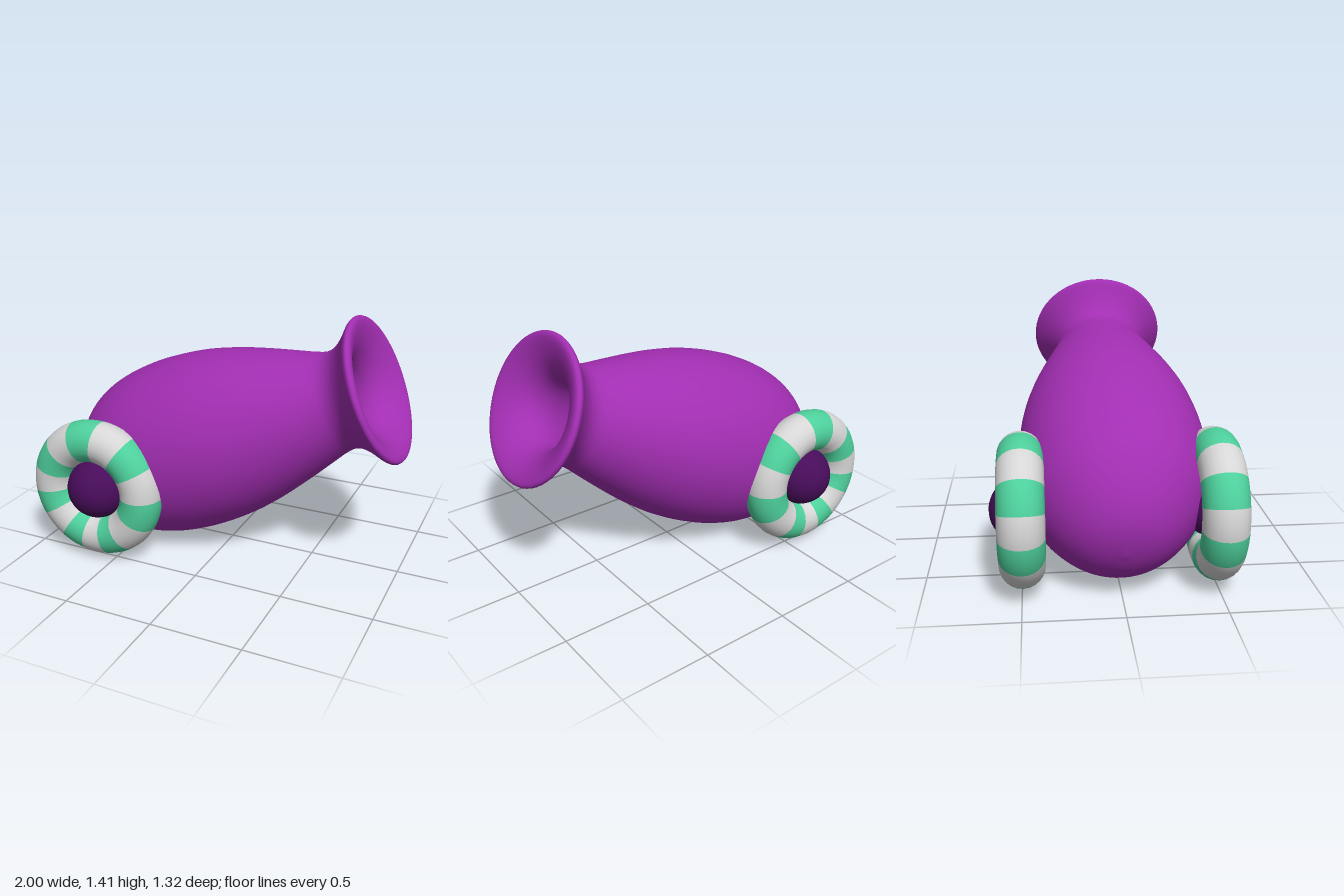
import * as THREE from 'three';

const mat = (name, color) => {
  const m = new THREE.MeshStandardMaterial({ color });
  m.name = name;
  return m;
};

export function createModel() {
  const purple = mat('purple', 0xa22eb2);
  const darkPurple = mat('dark purple', 0x480c5a);
  const green = mat('mint green', 0x4ed09c);
  const white = mat('pale grey', 0xd6d6d6);
  const model = new THREE.Group();
  model.name = 'cannon';

  // Barrel profile as [radius, distance behind the mouth]: outer skin, lip, then bore
  const profile = [
    [0, 1.925], [0.1, 1.913], [0.2, 1.878], [0.3, 1.805], [0.39, 1.7], [0.447, 1.6], [0.49, 1.45],
    [0.508, 1.27], [0.503, 1.1], [0.48, 0.92], [0.438, 0.745], [0.385, 0.58], [0.328, 0.422],
    [0.28, 0.29], [0.267, 0.23], [0.277, 0.175], [0.31, 0.12], [0.36, 0.065], [0.39, 0.035],
    [0.398, 0.018], [0.39, 0.003], [0.365, 0.0], [0.3, 0.025], [0.235, 0.07], [0.19, 0.13],
    [0.175, 0.2], [0.185, 0.28], [0.24, 0.44], [0.35, 0.75], [0.41, 1.1], [0.4, 1.45], [0.25, 1.75], [0, 1.83],
  ].map(([r, d]) => new THREE.Vector3(r, -d, 0));
  const curve = new THREE.CatmullRomCurve3(profile, false, 'centripetal');
  const points = curve.getPoints(128).map((p) => new THREE.Vector2(Math.max(p.x, 0), p.y));
  points[0].x = points[points.length - 1].x = 0;
  const barrel = new THREE.Mesh(new THREE.LatheGeometry(points, 64), purple);
  barrel.name = 'barrel';
  barrel.position.set(0.846, 1.064, 0);
  barrel.rotation.z = THREE.MathUtils.degToRad(23.5 - 90);
  model.add(barrel);

  // Striped ring wheels with domed hubs, one on each side
  const edges = [0, 28, 55, 84, 111, 137, 163, 187, 211, 237, 260, 282, 304, 332, 360];
  for (const side of [1, -1]) {
    const wheel = new THREE.Group();
    wheel.name = side > 0 ? 'frontWheel' : 'backWheel';
    wheel.position.set(-0.605, 0.43, side * 0.494);
    for (let i = 0; i < edges.length - 1; i++) {
      const arc = THREE.MathUtils.degToRad(edges[i + 1] - edges[i]);
      const band = new THREE.Mesh(new THREE.TorusGeometry(0.278, 0.117, 24, 5, arc), i % 2 ? green : white);
      band.name = 'wheelStripe';
      band.rotation.z = THREE.MathUtils.degToRad(edges[i]);
      wheel.add(band);
    }
    const hub = new THREE.Mesh(new THREE.SphereGeometry(0.172, 32, 24), darkPurple);
    hub.name = 'hub';
    hub.position.z = -side * 0.008;
    wheel.add(hub);
    model.add(wheel);
  }
  return model;
}
